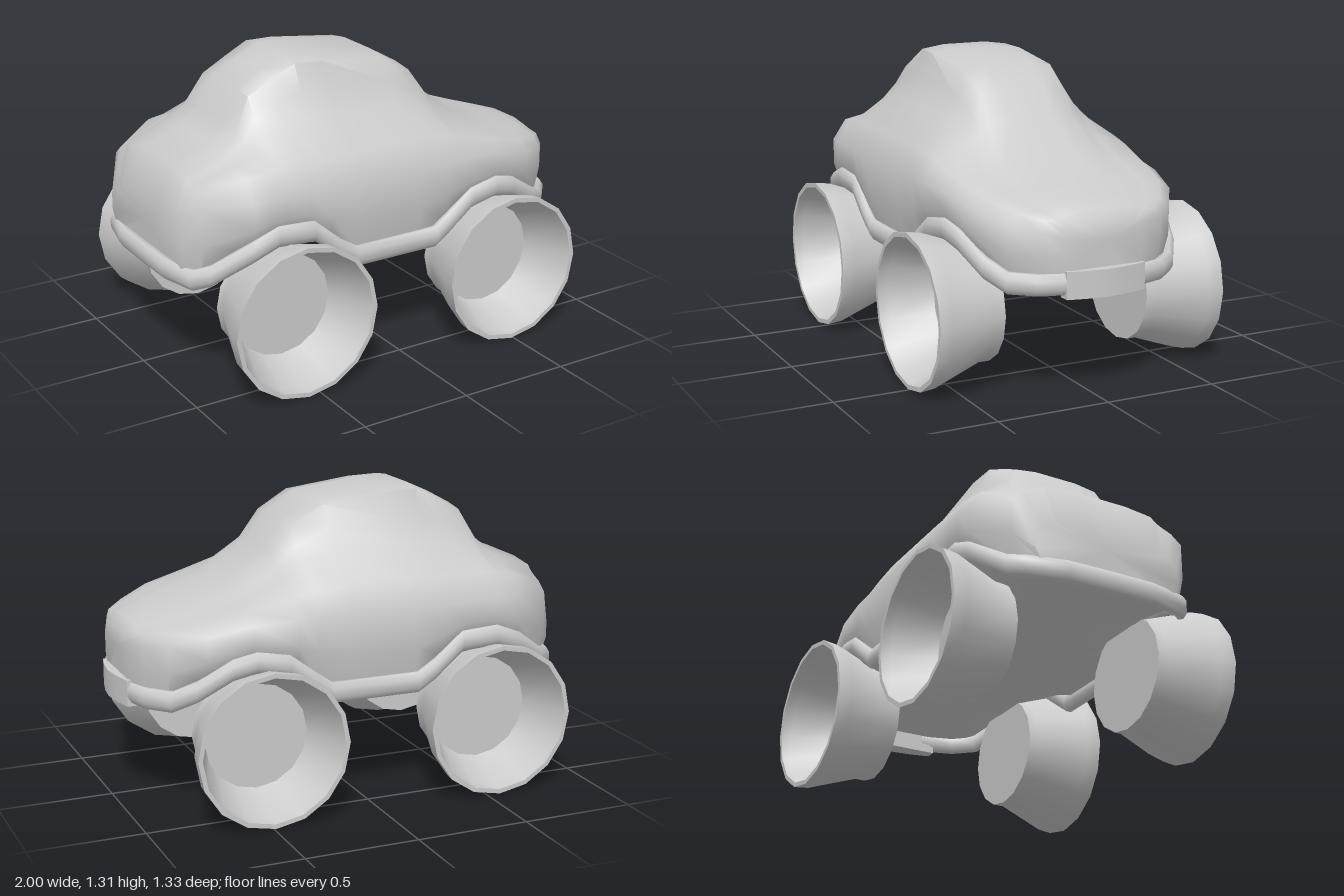
import * as THREE from 'three';
import { toCreasedNormals } from 'three/addons/utils/BufferGeometryUtils.js';

const material = new THREE.MeshStandardMaterial({ color: 0xcccccc });

function addMesh(parent, name, geometry, crease = 0.9) {
  const mesh = new THREE.Mesh(toCreasedNormals(geometry, crease), material);
  mesh.name = name;
  parent.add(mesh);
  return mesh;
}

// Skin a list of rings (arrays of [x, y, z]); either closes on itself or gets end caps
function loft(rings, closed) {
  const n = rings[0].length, pos = rings.flat(2), index = [];
  const last = closed ? rings.length : rings.length - 1;
  for (let i = 0; i < last; i++) {
    const k = (i + 1) % rings.length;
    for (let j = 0; j < n; j++) {
      const a = i * n + j, b = i * n + (j + 1) % n;
      const c = k * n + j, d = k * n + (j + 1) % n;
      index.push(a, c, b, b, c, d);
    }
  }
  if (!closed) {
    for (const i of [0, rings.length - 1]) {
      const centre = pos.length / 3;
      for (let axis = 0; axis < 3; axis++) {
        pos.push(rings[i].reduce((sum, p) => sum + p[axis], 0) / n);
      }
      for (let j = 0; j < n; j++) {
        const a = i * n + j, b = i * n + (j + 1) % n;
        index.push(centre, i ? b : a, i ? a : b);
      }
    }
  }
  const g = new THREE.BufferGeometry();
  g.setAttribute('position', new THREE.Float32BufferAttribute(pos, 3));
  g.setIndex(index);
  return g;
}

// Body stations: x, half width, sill height, shoulder height, roof half width, roof height
const stations = [
  [-0.96, 0.34, 0.53, 0.70, 0.24, 0.75],
  [-0.90, 0.41, 0.53, 0.86, 0.26, 0.93],
  [-0.72, 0.51, 0.63, 0.93, 0.25, 1.00],
  [-0.64, 0.52, 0.67, 0.94, 0.23, 1.07],
  [-0.57, 0.52, 0.68, 0.95, 0.20, 1.20],
  [-0.46, 0.52, 0.67, 0.95, 0.20, 1.26],
  [-0.35, 0.525, 0.60, 0.95, 0.21, 1.31],
  [-0.22, 0.525, 0.52, 0.95, 0.22, 1.305],
  [0.09, 0.525, 0.52, 0.95, 0.21, 1.27],
  [0.23, 0.52, 0.57, 0.94, 0.20, 1.19],
  [0.32, 0.52, 0.63, 0.92, 0.20, 1.07],
  [0.52, 0.50, 0.67, 0.87, 0.23, 0.92],
  [0.70, 0.46, 0.60, 0.83, 0.24, 0.865],
  [0.84, 0.37, 0.53, 0.79, 0.20, 0.825],
  [0.92, 0.28, 0.53, 0.77, 0.16, 0.80],
  [0.96, 0.17, 0.53, 0.73, 0.12, 0.76],
];

function bodySection([x, w, sill, shoulder, roofW, roof]) {
  const lerp = THREE.MathUtils.lerp, sw = 0.88 * w, edge = roof - 0.015;
  const belt = Math.min(0.84, shoulder - 0.04);
  const half = [
    [Math.min(0.32, 0.7 * w), 0.53], [w - 0.03, sill],
    [w, lerp(sill, belt, 0.45)], [w, belt], [sw, shoulder],
    [lerp(sw, roofW, 0.55), lerp(shoulder, edge, 0.4)],
    [lerp(sw, roofW, 0.8), lerp(shoulder, edge, 0.68)],
    [roofW, edge], [roofW * 0.5, roof],
  ];
  return [
    [x, 0.53, 0], ...half.map(([z, y]) => [x, y, z]),
    [x, roof, 0], ...half.reverse().map(([z, y]) => [x, y, -z]),
  ];
}

// Sill trim running round the body and up over the wheels, rear to front on the left
function trimRings() {
  const side = [
    [-0.97, 0.51, 0.20], [-0.93, 0.51, 0.37], [-0.87, 0.53, 0.41],
    [-0.72, 0.635, 0.50], [-0.61, 0.68, 0.505], [-0.44, 0.67, 0.505],
    [-0.31, 0.56, 0.505], [-0.23, 0.51, 0.505], [0.17, 0.51, 0.505],
    [0.24, 0.56, 0.505], [0.36, 0.65, 0.50], [0.50, 0.675, 0.49],
    [0.60, 0.65, 0.475], [0.74, 0.56, 0.43], [0.83, 0.51, 0.37],
    [0.91, 0.51, 0.28], [0.945, 0.51, 0.16],
  ];
  const path = [
    [-0.972, 0.51, 0], ...side, [0.955, 0.51, 0],
    ...[...side].reverse().map(([x, y, z]) => [x, y, -z]),
  ];
  return path.map(([x, y, z], i) => {
    const a = path.at(i - 1), b = path[(i + 1) % path.length];
    const dx = b[0] - a[0], dz = b[2] - a[2], len = Math.hypot(dx, dz);
    return Array.from({ length: 8 }, (_, j) => {
      const t = (j + 0.5) * Math.PI / 4, out = 0.03 * Math.cos(t) / len;
      return [x - dz * out, y + 0.048 * Math.sin(t), z + dx * out];
    });
  });
}

// Bowed block at the middle of the front bumper
function bumperGeometry() {
  const plan = new THREE.Shape([
    [0.92, -0.18], [0.97, -0.18], [0.99, -0.09], [1.0, 0],
    [0.99, 0.09], [0.97, 0.18], [0.92, 0.18],
  ].map(([x, z]) => new THREE.Vector2(x, z)));
  const g = new THREE.ExtrudeGeometry(plan, { depth: 0.115, bevelEnabled: false });
  return g.rotateX(-Math.PI / 2).translate(0, 0.45, 0);
}

// Deep-dish wheel: solid inner hub, flared barrel, open outer rim
function wheelGeometry() {
  const profile = [
    [0, 0.335], [0.25, 0.335], [0.25, 0.385], [0.328, 0.60], [0.335, 0.665],
    [0.315, 0.665], [0.305, 0.62], [0.23, 0.44], [0, 0.44],
  ].map(([r, y]) => new THREE.Vector2(r, y));
  return new THREE.LatheGeometry(profile, 16).rotateX(Math.PI / 2);
}

export function createModel() {
  const car = new THREE.Group();
  car.name = 'car';

  addMesh(car, 'body', loft(stations.map(bodySection), false), 1.0);
  addMesh(car, 'sillTrim', loft(trimRings(), true), 1.2);
  addMesh(car, 'frontBumper', bumperGeometry(), 0.6);

  for (const [end, x] of [['front', 0.49], ['rear', -0.56]]) {
    for (const [side, turn] of [['Left', 0], ['Right', Math.PI]]) {
      const wheel = addMesh(car, `${end}Wheel${side}`, wheelGeometry(), 0.6);
      wheel.position.set(x, 0.338, 0);
      wheel.rotation.y = turn;
    }
  }
  return car;
}
